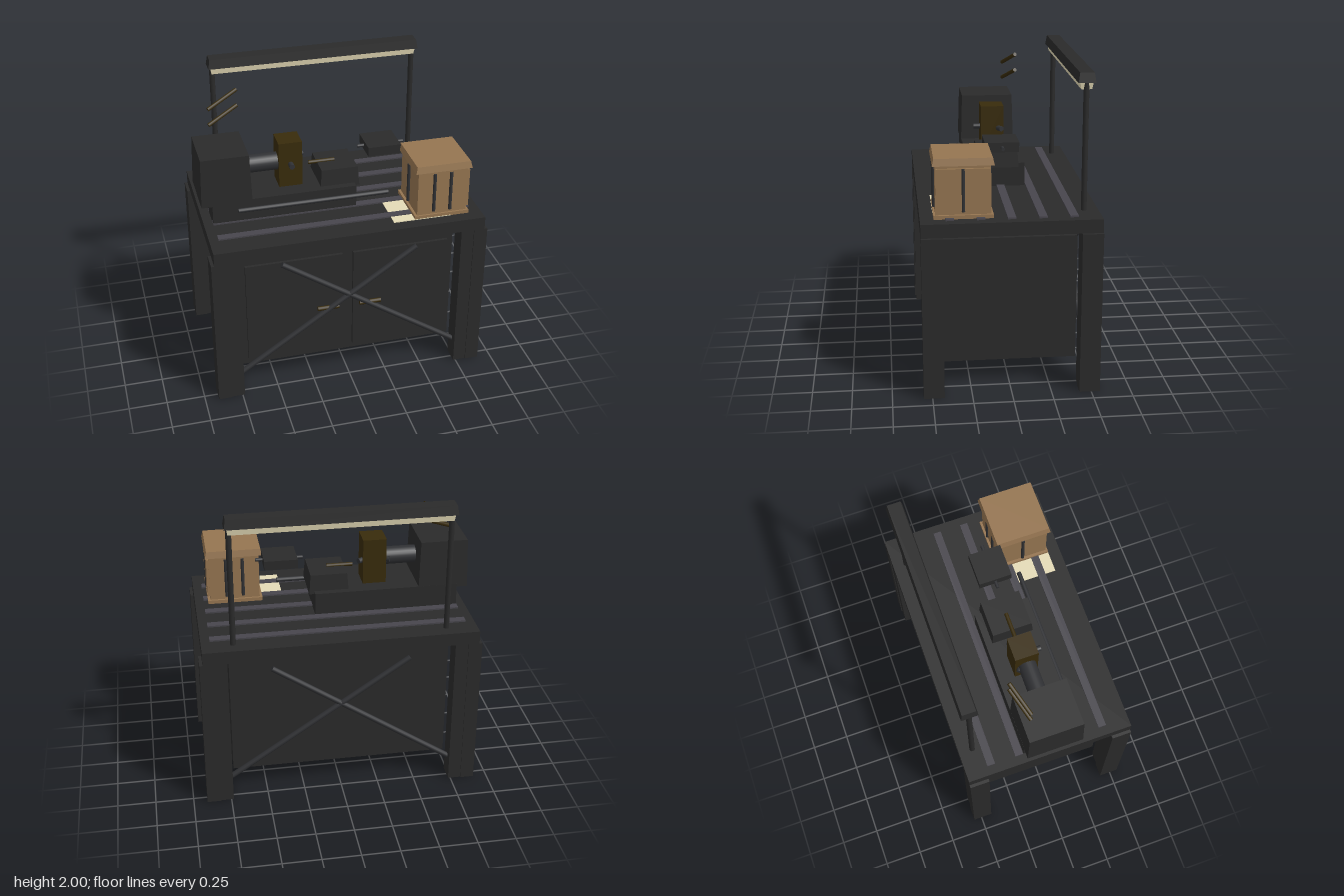
import * as THREE from 'three';

const mat = (name, color) => {
  const m = new THREE.MeshStandardMaterial({ color });
  m.name = name;
  return m;
};

export function createModel() {
  const root = new THREE.Group();
  root.name = 'latheWorkbench';
  const iron = mat('dark iron', 0x2a2a2a);
  const steel = mat('steel', 0x303134);
  const slotMat = mat('slot grey', 0x47454c);
  const brass = mat('dark brass', 0x382b0b);
  const wood = mat('wood', 0x957551);
  const cream = mat('cream', 0xe4dab6);

  const add = (name, geo, material) => {
    const m = new THREE.Mesh(geo, material);
    m.name = name;
    root.add(m);
    return m;
  };
  // Box given by its limits; the insets pull in the top or bottom rim
  const box = (name, material, x0, x1, y0, y1, z0, z1, topInset = 0, bottomInset = 0) => {
    const g = new THREE.BoxGeometry(x1 - x0, y1 - y0, z1 - z0);
    const p = g.attributes.position;
    for (let i = 0; i < p.count; i++) {
      const inset = p.getY(i) > 0 ? topInset : bottomInset;
      p.setX(i, p.getX(i) - Math.sign(p.getX(i)) * inset);
      p.setZ(i, p.getZ(i) - Math.sign(p.getZ(i)) * inset);
    }
    g.computeVertexNormals();
    const m = add(name, g, material);
    m.position.set((x0 + x1) / 2, (y0 + y1) / 2, (z0 + z1) / 2);
    return m;
  };
  // Round bar between two points
  const rod = (name, material, a, b, r, sides = 12) => {
    const A = new THREE.Vector3(...a), B = new THREE.Vector3(...b);
    const d = B.clone().sub(A);
    const m = add(name, new THREE.CylinderGeometry(r, r, d.length(), sides), material);
    m.position.copy(A).add(B).multiplyScalar(0.5);
    m.quaternion.setFromUnitVectors(new THREE.Vector3(0, 1, 0), d.normalize());
    return m;
  };

  // Bench: top, two-part legs with a small step, cabinet
  box('benchTop', iron, -0.89, 0.89, 1.048, 1.135, -0.555, 0.555);
  for (const sx of [-1, 1]) for (const sz of [-1, 1]) {
    const z0 = sz > 0 ? 0.425 : -0.555;
    const inner = [0.735 * sx, 0.82 * sx].sort((a, b) => a - b);
    const outer = [0.82 * sx, 0.91 * sx].sort((a, b) => a - b);
    box('legInner', iron, ...inner, 0, 1.048, z0 + 0.006, z0 + 0.124);
    box('legOuter', iron, ...outer, 0, 1.048, z0, z0 + 0.13);
  }
  box('cabinet', iron, -0.72, 0.72, 0.16, 0.98, -0.425, 0.425);

  // Doors, handles and crossed braces
  for (const s of [-1, 1]) {
    const dx = [0.035 * s, 0.68 * s].sort((a, b) => a - b);
    box('door', iron, ...dx, 0.205, 0.935, 0.42, 0.446);
    rod('doorHandle', brass, [0.07 * s, 0.56, 0.485], [0.215 * s, 0.56, 0.485], 0.015);
    for (const z of [0.49, -0.49])
      rod('crossBrace', steel, [0.735 * s, 0.15, z], [-0.45 * s, 0.95, z], 0.018);
  }

  // Raised slot strips along the top
  for (const z of [-0.385, -0.195, -0.003, 0.185, 0.375])
    box('slotStrip', slotMat, -0.832, 0.832, 1.13, 1.145, z - 0.026, z + 0.026);

  // Lathe: bed, headstock, spindle and chuck
  box('bed', iron, -0.83, 0.119, 1.135, 1.29, -0.165, 0.205);
  box('headstock', iron, -0.9, -0.57, 1.27, 1.6, -0.165, 0.208, 0.01);
  rod('spindle', steel, [-0.58, 1.448, 0.02], [-0.36, 1.448, 0.02], 0.059, 24);
  box('chuck', brass, -0.37, -0.215, 1.29, 1.6, -0.06, 0.095);
  for (let i = 0; i < 3; i++) {
    const a = (i * Math.PI * 2) / 3;
    rod('chuckJaw', steel, [-0.292, 1.448, 0.018],
      [-0.292 + 0.122 * Math.sin(a), 1.448, 0.018 + 0.122 * Math.cos(a)], 0.018);
  }

  // Carriage, tool, feed screw and tailstock
  box('carriage', iron, -0.11, 0.152, 1.27, 1.4, -0.122, 0.16, 0.01);
  rod('cuttingTool', brass, [-0.157, 1.403, 0.017], [0.017, 1.403, 0.017], 0.013);
  rod('feedScrew', steel, [-0.667, 1.225, 0.22], [0.33, 1.225, 0.22], 0.015);
  box('tailstock', iron, 0.22, 0.44, 1.45, 1.512, -0.09, 0.127);
  rod('tailstockCentre', steel, [0.175, 1.48, 0.017], [0.487, 1.48, 0.017], 0.011);

  // Loose brass bars above the headstock
  for (const y of [1.69, 1.8])
    rod('hangingBar', brass, [-0.78, y, -0.108], [-0.58, y + 0.088, -0.178], 0.013);

  // Wooden chest with lid, plinth, side panel and upright slats
  box('chestPlinth', wood, 0.438, 0.803, 1.136, 1.16, 0.105, 0.472);
  box('chestBody', wood, 0.455, 0.787, 1.15, 1.48, 0.12, 0.46);
  box('chestLid', wood, 0.433, 0.81, 1.47, 1.515, 0.1, 0.477, 0.01);
  box('chestSidePanel', wood, 0.78, 0.803, 1.185, 1.45, 0.125, 0.455);
  for (const x of [0.565, 0.675]) for (const z of [0.462, 0.118])
    rod('chestSlat', steel, [x, 1.18, z], [x, 1.45, z], 0.011);
  for (const x of [0.447, 0.798])
    rod('chestSlat', steel, [x, 1.18, 0.29], [x, 1.45, 0.29], 0.011);

  // Sheet of paper partly under the chest
  box('paper', cream, 0.297, 0.68, 1.134, 1.14, 0.21, 0.473);

  // Lamp gantry
  for (const s of [-1, 1])
    rod('lampPost', iron, [0.688 * s, 1.135, -0.465], [0.688 * s, 1.95, -0.465], 0.018);
  box('lampHood', iron, -0.717, 0.717, 1.938, 2, -0.52, -0.412, 0.01);
  box('lampTube', cream, -0.702, 0.702, 1.895, 1.94, -0.507, -0.425, 0, 0.008);

  return root;
}
